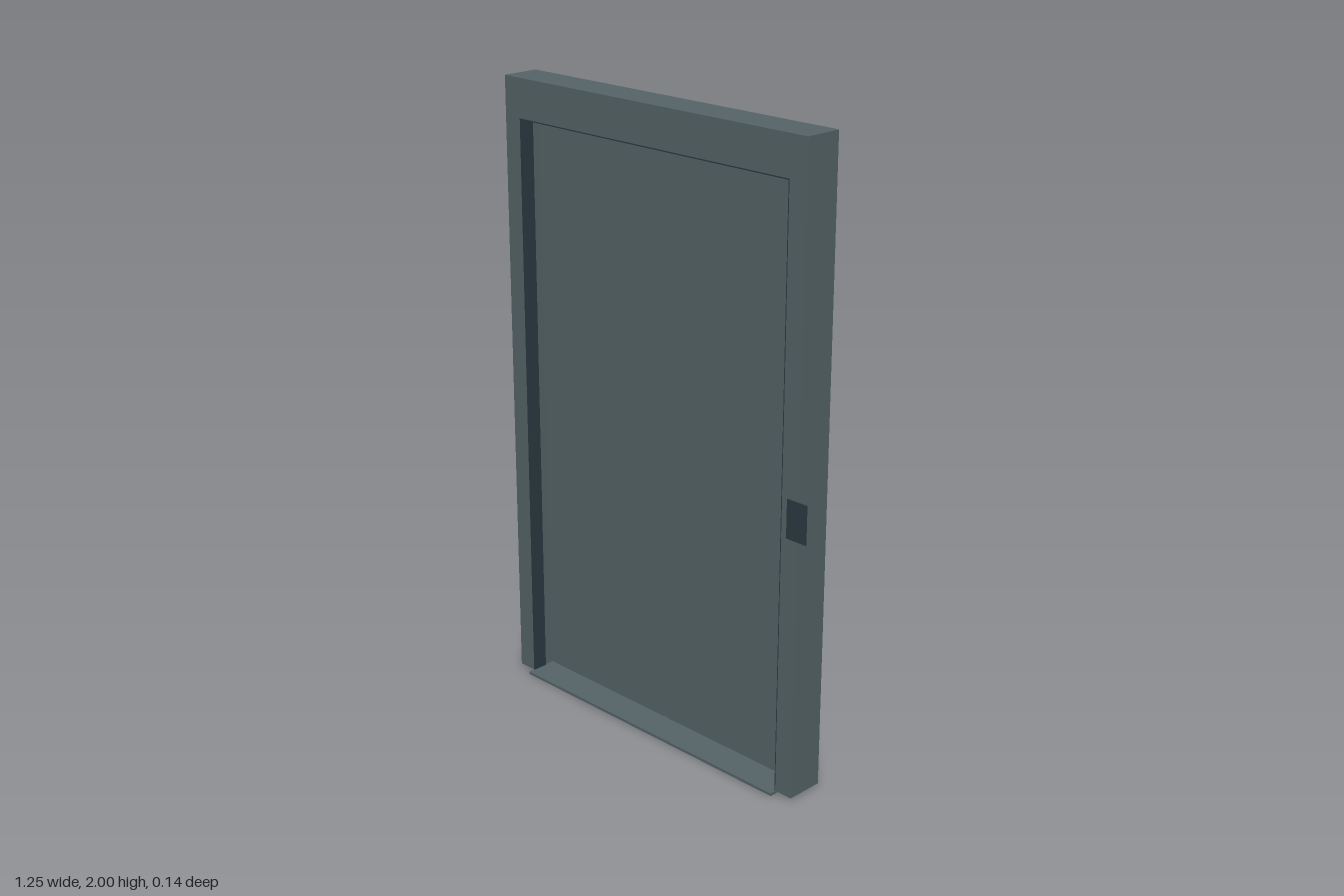
import * as THREE from 'three';

export function createModel() {
  const model = new THREE.Group();
  model.name = 'slidingDoor';

  const steel = new THREE.MeshStandardMaterial({ color: 0x566468 });
  steel.name = 'grey steel';
  const dark = new THREE.MeshStandardMaterial({ color: 0x2b3942 });
  dark.name = 'dark slate';

  // Box given by its extents on each axis
  function addBox(name, material, [x0, x1], [y0, y1], [z0, z1]) {
    const mesh = new THREE.Mesh(new THREE.BoxGeometry(x1 - x0, y1 - y0, z1 - z0), material);
    mesh.position.set((x0 + x1) / 2, (y0 + y1) / 2, (z0 + z1) / 2);
    mesh.name = name;
    model.add(mesh);
  }

  const left = -0.562, right = 0.527, head = 1.877, foot = 0.01;
  const back = -0.073, front = 0.05;

  // Surround: two posts and a lintel in one piece
  const outline = new THREE.Shape([
    [-0.624, foot], [left, foot], [left, head], [right, head],
    [right, foot], [0.589, foot], [0.589, 2], [-0.624, 2],
  ].map(([x, y]) => new THREE.Vector2(x, y)));
  const frame = new THREE.Mesh(
    new THREE.ExtrudeGeometry(outline, { depth: front - back, bevelEnabled: false }), steel);
  frame.position.z = back;
  frame.name = 'frame';
  model.add(frame);

  // Dark seals along the front of the opening
  const seal = 0.004, sealDepth = [0, front - 0.001];
  addBox('sealRight', dark, [left, left + seal], [foot, head], sealDepth);
  addBox('sealLeft', dark, [right - seal, right], [foot, head], sealDepth);
  addBox('sealTop', dark, [left, right], [head - seal, head], sealDepth);

  // Sliding panels with a narrow gap between them
  const middle = (left + right) / 2, gap = 0.004, panelDepth = [-0.052, -0.03];
  addBox('panelRight', steel, [left, middle - gap], [0.013, head], panelDepth);
  addBox('panelLeft', steel, [middle + gap, right], [0.013, head], panelDepth);

  // Sill
  addBox('threshold', steel, [left, right], [0, 0.009], [-0.045, 0.07]);

  // Call plate overlapping the edge of the post
  addBox('callPlate', dark, [0.549, 0.622], [0.843, 0.964], [front, 0.054]);

  return model;
}
